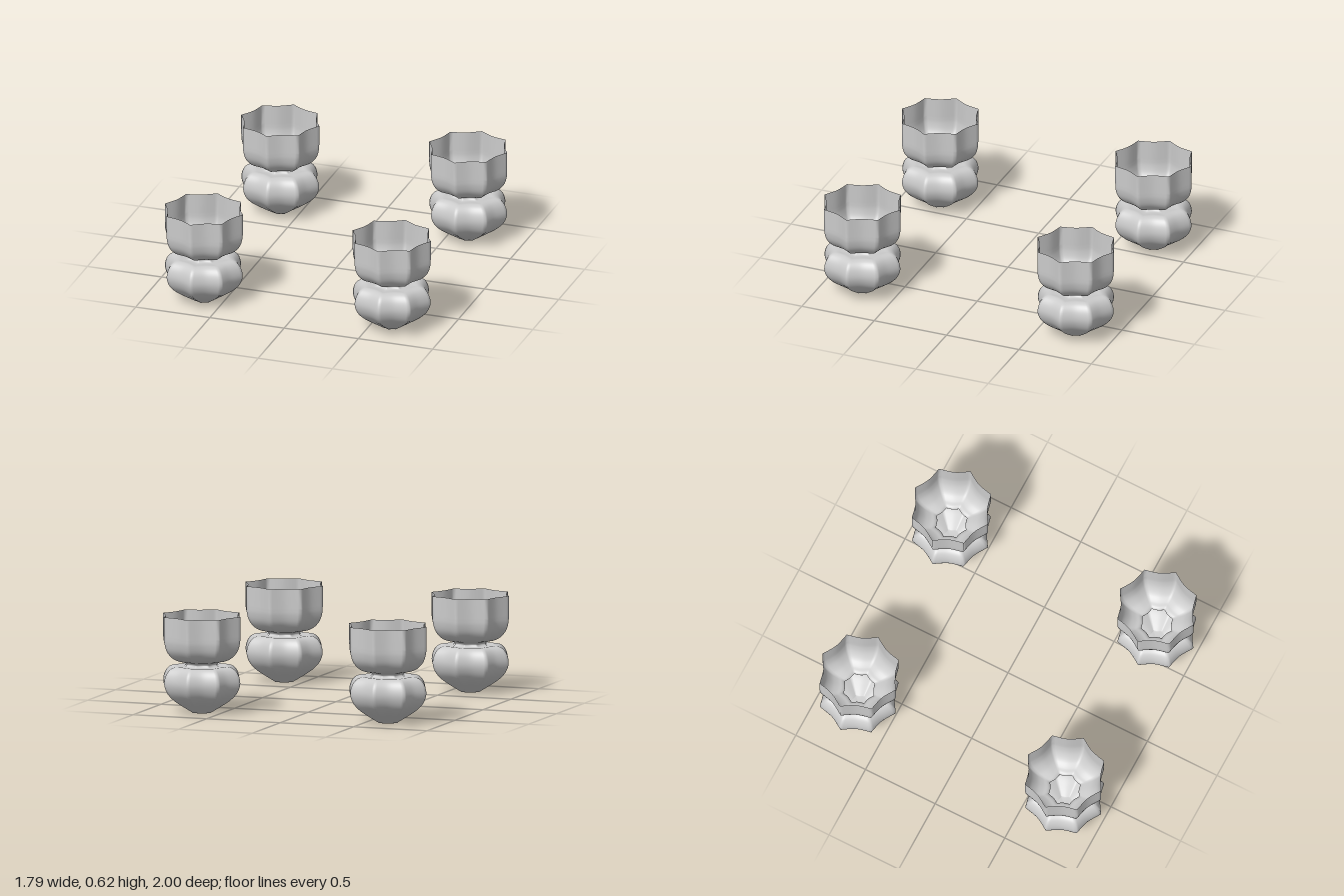
import * as THREE from 'three';
import { mergeVertices } from 'three/addons/utils/BufferGeometryUtils.js';

const LOBES = 8;
const STEPS = 12; // segments per flute

const material = new THREE.MeshStandardMaterial({ color: 0xcccccc, side: THREE.DoubleSide });

// Lathe whose radius dips between eight ridges, giving concave flutes
function flutedLathe(points) {
  const geo = new THREE.LatheGeometry(points, LOBES * STEPS);
  const pos = geo.attributes.position;
  const rows = points.length;
  for (let i = 0; i < pos.count; i++) {
    const step = Math.floor(i / rows) % STEPS;
    const t = Math.abs((2 * step) / STEPS - 1); // 1 on a ridge, 0 mid flute
    const k = 0.868 + 0.132 * Math.pow(t, 1.9);
    pos.setXYZ(i, pos.getX(i) * k, pos.getY(i), pos.getZ(i) * k);
  }
  geo.deleteAttribute('uv');
  geo.deleteAttribute('normal');
  const merged = mergeVertices(geo, 1e-5);
  merged.computeVertexNormals();
  return merged;
}

function smoothProfile(pairs, count) {
  const pts = pairs.map(([r, y]) => new THREE.Vector3(r, y, 0));
  return new THREE.CatmullRomCurve3(pts, false, 'centripetal')
    .getPoints(count)
    .map((p) => new THREE.Vector2(p.x, p.y));
}

export function createModel() {
  const group = new THREE.Group();

  // Bulb, neck and bowl in one thin wall, open at the top
  const wall = smoothProfile([
    [0.07, 0.005], [0.135, 0.045], [0.2, 0.09], [0.243, 0.138], [0.262, 0.195],
    [0.25, 0.25], [0.222, 0.285], [0.185, 0.299], [0.145, 0.297], [0.115, 0.298],
    [0.104, 0.311], [0.118, 0.324], [0.155, 0.333], [0.2, 0.354],
    [0.242, 0.4], [0.26, 0.455], [0.263, 0.5],
  ], 64);
  wall.push(new THREE.Vector2(0.263, 0.625));
  const wallGeo = flutedLathe(wall);

  // Flat foot with a tiny bevel
  const floorGeo = flutedLathe([
    new THREE.Vector2(0, 0), new THREE.Vector2(0.064, 0), new THREE.Vector2(0.07, 0.005),
  ]);

  for (const [sx, side] of [[1, 'Left'], [-1, 'Right']]) {
    for (const [sz, end] of [[1, 'front'], [-1, 'back']]) {
      const cup = new THREE.Group();
      cup.name = `${end}${side}Cup`;
      const body = new THREE.Mesh(wallGeo, material);
      body.name = 'flutedWall';
      const floor = new THREE.Mesh(floorGeo, material);
      floor.name = 'foot';
      cup.add(body, floor);
      cup.position.set(sx * 0.633, 0, sz * 0.737);
      group.add(cup);
    }
  }
  return group;
}
